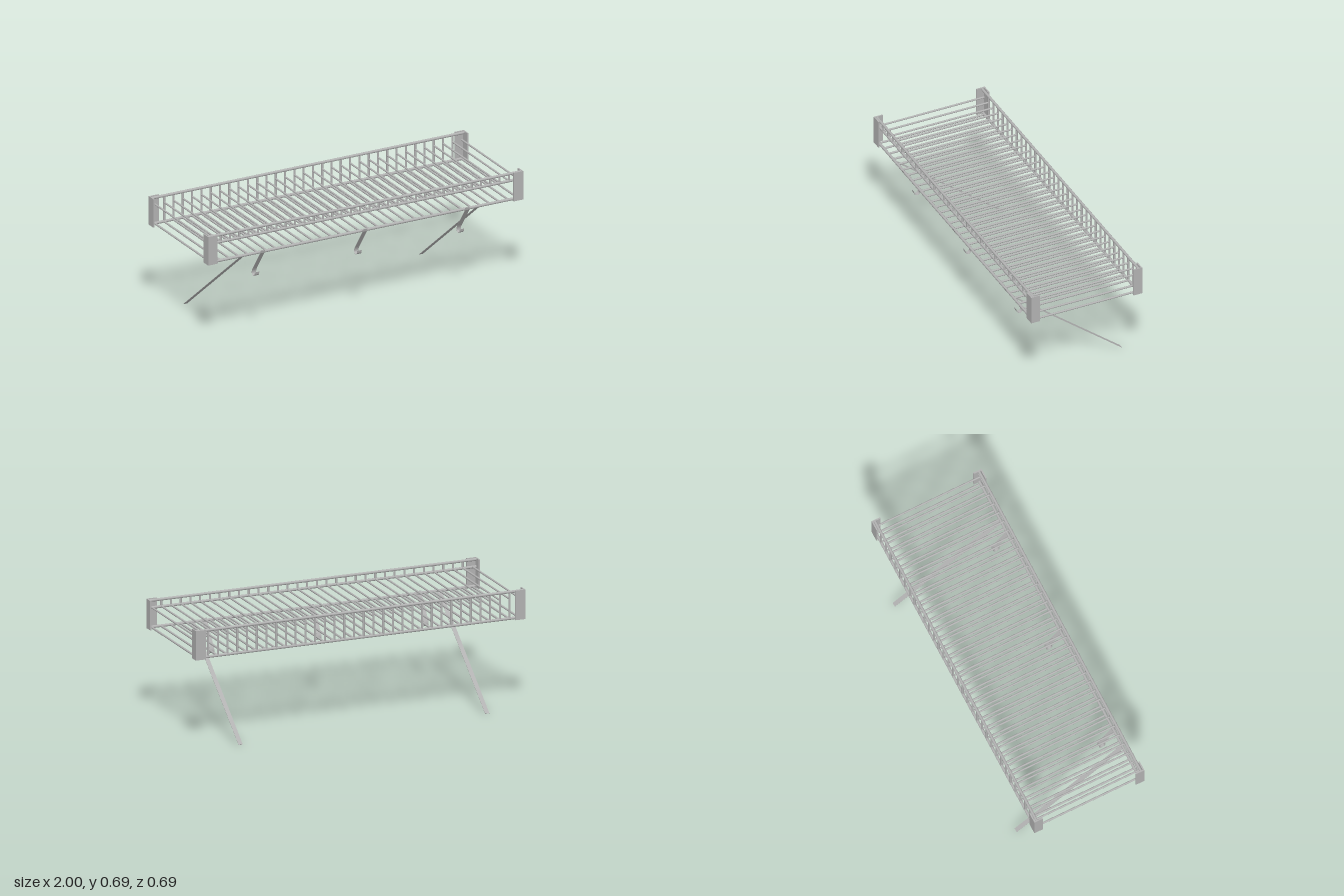
import * as THREE from 'three';

export function createModel() {
  const model = new THREE.Group();
  model.name = 'wireShelf';
  const steel = new THREE.MeshStandardMaterial({ color: 0xb2b2b2 });
  steel.name = 'steel grey';

  const group = (name) => {
    const g = new THREE.Group();
    g.name = name;
    model.add(g);
    return g;
  };

  // Round rod between two points
  const rod = (parent, name, a, b, r) => {
    const from = new THREE.Vector3(...a), dir = new THREE.Vector3(...b).sub(from);
    const m = new THREE.Mesh(new THREE.CylinderGeometry(r, r, dir.length(), 12), steel);
    m.name = name;
    m.position.copy(from).addScaledVector(dir, 0.5);
    m.quaternion.setFromUnitVectors(new THREE.Vector3(0, 1, 0), dir.normalize());
    parent.add(m);
  };

  // Thin flat bar of a given width, following a path of [z, y] points
  const flatBar = (parent, name, x, width, thickness, path) => {
    const points = path.map((p) => new THREE.Vector2(...p));
    const edge = (side) => points.map((p, i) => {
      const t = points[Math.min(i + 1, points.length - 1)].clone().sub(points[Math.max(i - 1, 0)]).normalize();
      return new THREE.Vector2(p.x - t.y * side, p.y + t.x * side);
    });
    const outline = new THREE.Shape([...edge(thickness / 2), ...edge(-thickness / 2).reverse()]);
    const g = new THREE.ExtrudeGeometry(outline, { depth: width, bevelEnabled: false });
    g.rotateY(-Math.PI / 2);
    const m = new THREE.Mesh(g, steel);
    m.name = name;
    m.position.x = x + width / 2;
    parent.add(m);
  };

  const zRail = 0.325, yTop = 0.685, yMid = 0.643, yLow = 0.531;

  // Long rails; the front alone has a middle rail
  const rails = group('longRails');
  for (const [z, y] of [[zRail, yTop], [zRail, yMid], [zRail, yLow], [-zRail, yTop], [-zRail, yLow]])
    rod(rails, 'longRail', [-0.992, y, z], [0.992, y, z], 0.008);

  // Two tiers of cross rods, with short spindles in front and tall ones behind
  const floor = group('floorRods'), upper = group('upperRods'), spindles = group('spindles');
  for (let i = 0; i < 34; i++) {
    const x = -0.97 + i * 0.059;
    rod(floor, 'floorRod', [x, 0.529, -zRail], [x, 0.529, zRail], 0.006);
    rod(upper, 'upperRod', [x, 0.645, -zRail], [x, 0.645, zRail], 0.0055);
    if (Math.abs(x) < 0.95) {
      rod(spindles, 'frontSpindle', [x, yMid, zRail], [x, yTop, zRail], 0.006);
      rod(spindles, 'backSpindle', [x, yLow, -zRail], [x, yTop, -zRail], 0.006);
    }
  }

  // Angled corner brackets
  const corners = group('cornerBrackets');
  const angle = new THREE.Shape([[0, 0], [0.06, 0], [0.06, 0.008], [0.008, 0.008], [0.008, 0.053], [0, 0.053]]
    .map(([x, y]) => new THREE.Vector2(x, y)));
  for (const sx of [-1, 1]) {
    for (const sz of [-1, 1]) {
      const g = new THREE.ExtrudeGeometry(angle, { depth: 0.171, bevelEnabled: false });
      g.rotateX(-Math.PI / 2);
      const m = new THREE.Mesh(g, steel);
      m.name = 'cornerBracket';
      m.scale.set(-sx, 1, sz);
      m.position.set(sx, 0.522, sz * 0.343);
      corners.add(m);
    }
  }

  // Flat diagonal support legs
  const legs = group('supportLegs');
  for (const x of [-0.768, 0.728])
    flatBar(legs, 'supportLeg', x, 0.025, 0.002, [[0.318, 0.526], [-0.342, 0.001]]);

  // Curled flat hooks hanging from the front rail
  const hooks = group('hooks');
  const curl = new THREE.CatmullRomCurve3([[0.242, 0.4], [0.235, 0.385], [0.235, 0.37], [0.249, 0.361],
    [0.265, 0.37], [0.271, 0.389]].map(([z, y]) => new THREE.Vector3(0, y, z)));
  const hookPath = [[0.335, 0.541], [0.331, 0.525], ...curl.getPoints(20).map((p) => [p.z, p.y])];
  for (const x of [-0.65, 0, 0.65]) flatBar(hooks, 'hook', x, 0.028, 0.001, hookPath);

  return model;
}
